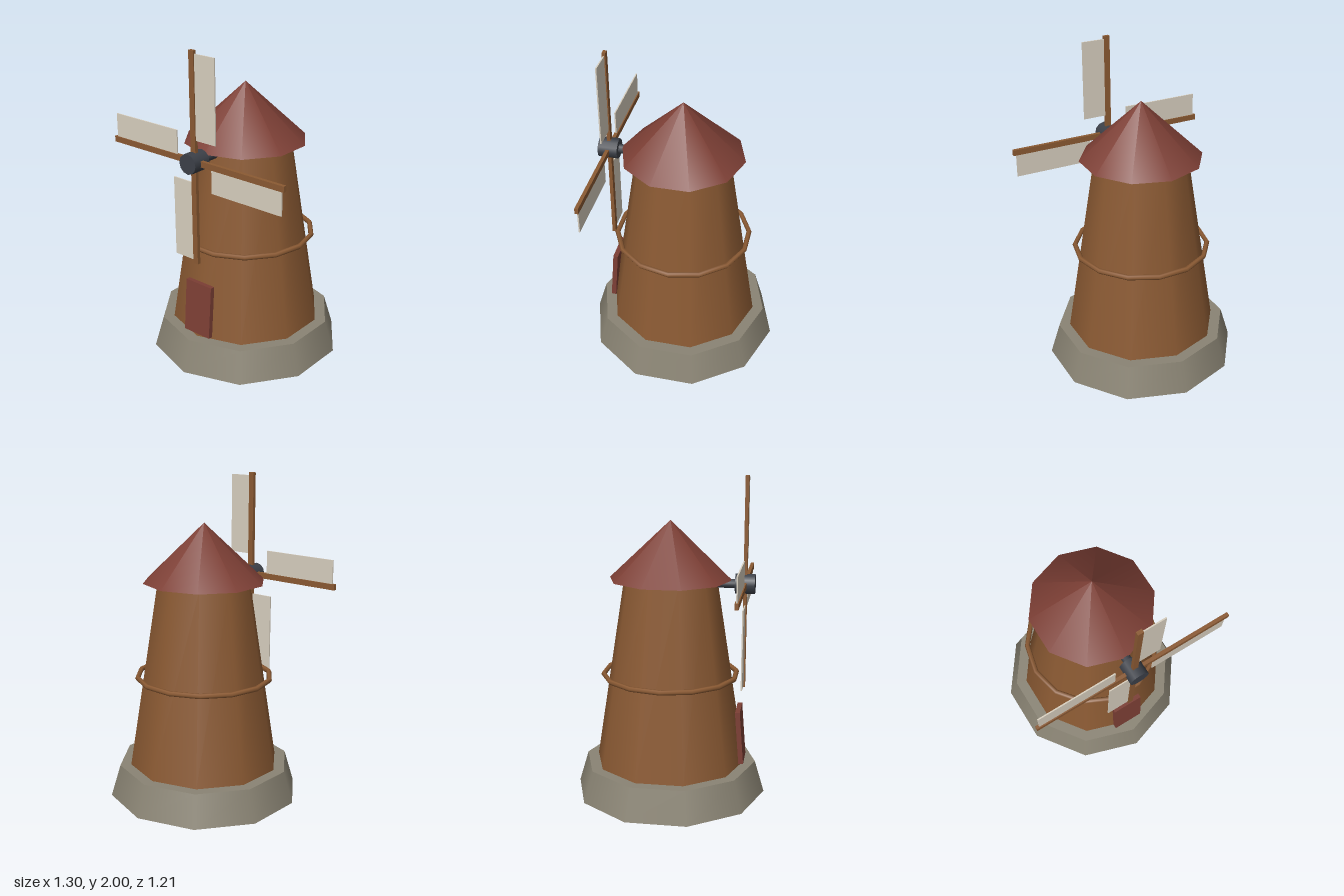
import * as THREE from 'three';

const paint = (color) => new THREE.MeshStandardMaterial({ color });

function part(parent, name, geometry, material, x = 0, y = 0, z = 0) {
  const mesh = new THREE.Mesh(geometry, material);
  mesh.name = name;
  mesh.position.set(x, y, z);
  parent.add(mesh);
  return mesh;
}

export function createModel() {
  const model = new THREE.Group();
  model.name = 'windmill';
  const stone = paint(0x8a8474);
  const wood = paint(0x8b5a33);
  const red = paint(0x7d3f35);
  const canvas = paint(0xd8cfbf);
  const iron = paint(0x3c4048);
  const SIDES = 10;

  // Tapered body on a stone footing, with a conical roof
  part(model, 'base', new THREE.CylinderGeometry(0.545, 0.605, 0.2, SIDES), stone, 0, 0.1, 0);
  part(model, 'tower', new THREE.CylinderGeometry(0.29, 0.475, 1.17, SIDES), wood, 0, 0.785, 0);
  part(model, 'roof', new THREE.ConeGeometry(0.38, 0.36, SIDES), red, 0, 1.55, 0);

  // Hoop around the tower
  const hoop = part(model, 'hoop', new THREE.TorusGeometry(0.42, 0.016, 6, 14), wood, 0, 0.768, 0);
  hoop.rotation.x = Math.PI / 2;

  // Door leaning with the wall
  const door = part(model, 'door', new THREE.BoxGeometry(0.2, 0.34, 0.03), red, 0, 0.385, 0.448);
  door.rotation.x = -0.08;

  // Axle and hub
  const rotor = new THREE.Group();
  rotor.name = 'rotor';
  rotor.position.set(0, 1.35, 0.46);
  model.add(rotor);
  const axle = part(rotor, 'axle', new THREE.CylinderGeometry(0.028, 0.028, 0.24, 10), iron, 0, 0, -0.14);
  const hub = part(rotor, 'hub', new THREE.CylinderGeometry(0.062, 0.062, 0.12, 12), iron);
  axle.rotation.x = hub.rotation.x = Math.PI / 2;

  // Four blades, each an arm with a sail on one side
  for (let i = 0; i < 4; i++) {
    const blade = new THREE.Group();
    blade.name = 'blade';
    blade.rotation.z = i * Math.PI / 2;
    rotor.add(blade);
    part(blade, 'arm', new THREE.BoxGeometry(0.036, 0.65, 0.022), wood, 0, 0.325, 0);
    part(blade, 'sail', new THREE.BoxGeometry(0.15, 0.5, 0.008), canvas, 0.089, 0.381, 0);
  }
  return model;
}
